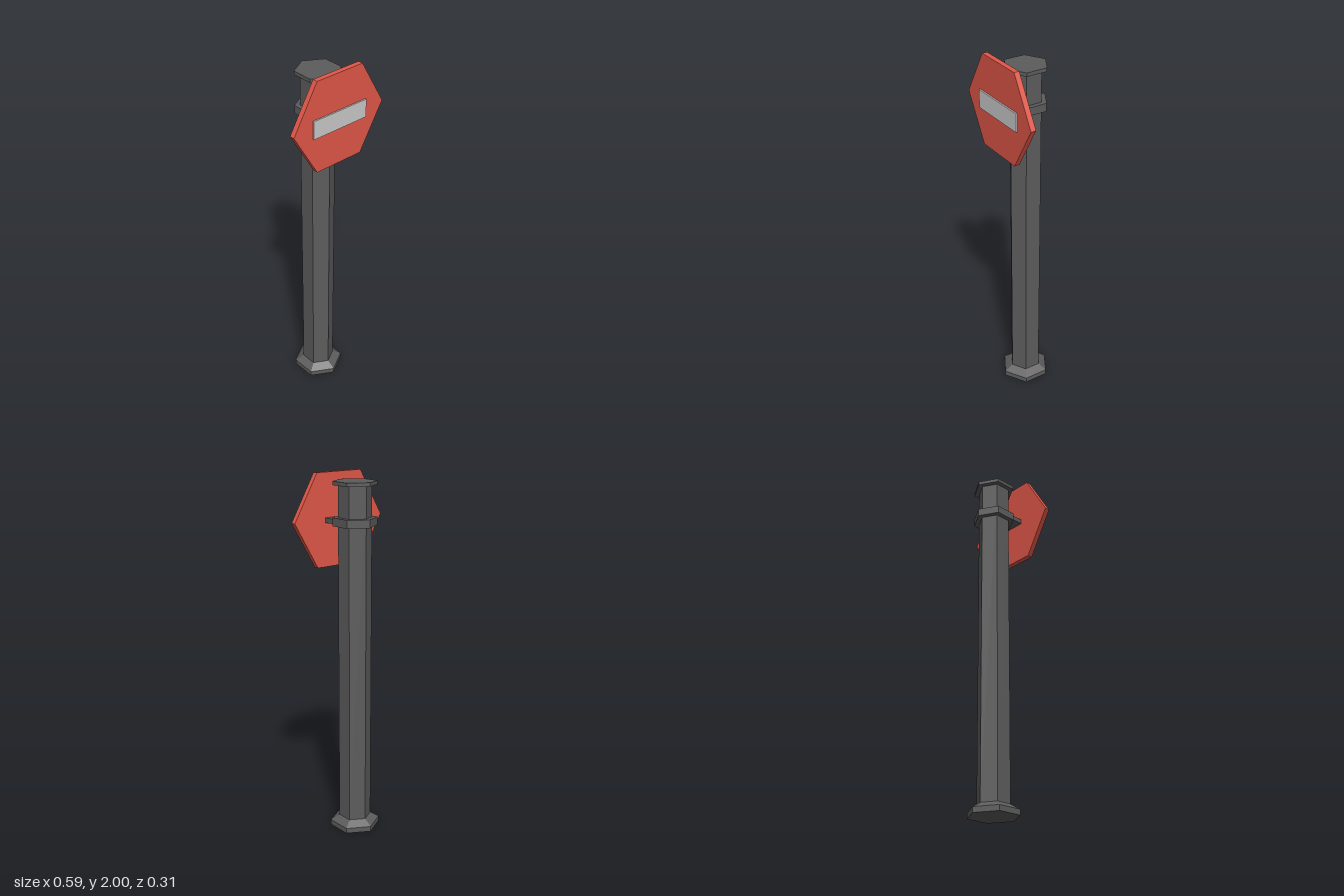
import * as THREE from 'three';

const POLE_Z = -0.015;

export function createModel() {
  const model = new THREE.Group();
  model.name = 'roadSign';

  const mat = (color) => new THREE.MeshStandardMaterial({ color, flatShading: true });
  const darkMetal = mat(0x5c5c5c);
  const red = mat(0xe25749);
  const pale = mat(0xcccccc);

  const add = (name, geometry, material, x, y, z) => {
    const mesh = new THREE.Mesh(geometry, material);
    mesh.name = name;
    mesh.position.set(x, y, z);
    model.add(mesh);
    return mesh;
  };

  // Hexagonal post sections, one corner facing front: name, top radius, bottom radius, y from, y to
  const sections = [
    ['baseFoot', 0.14, 0.14, 0, 0.03],
    ['baseChamfer', 0.09, 0.14, 0.03, 0.06],
    ['post', 0.09, 0.09, 0.06, 1.94],
    ['clampRing', 0.119, 0.119, 1.728, 1.772],
    ['postCap', 0.119, 0.119, 1.94, 1.96],
  ];
  for (const [name, rTop, rBottom, y0, y1] of sections) {
    add(name, new THREE.CylinderGeometry(rTop, rBottom, y1 - y0, 6), darkMetal, 0, (y0 + y1) / 2, POLE_Z);
  }

  // Flat bracket from the clamp to the back of the sign
  add('signBracket', new THREE.BoxGeometry(0.19, 0.026, 0.115), darkMetal, 0, 1.75, 0.0585);

  // Hexagonal sign panel with corners to the sides
  const outline = new THREE.Shape([
    [0.294, 0], [0.147, 0.25], [-0.147, 0.25], [-0.294, 0], [-0.147, -0.25], [0.147, -0.25],
  ].map(([x, y]) => new THREE.Vector2(x, y)));
  const panel = new THREE.ExtrudeGeometry(outline, { depth: 0.029, bevelEnabled: false });
  add('signPanel', panel, red, 0, 1.75, 0.116);

  // Raised pale bar on the sign face
  add('signBar', new THREE.BoxGeometry(0.348, 0.1, 0.012), pale, 0, 1.75, 0.147);

  return model;
}
